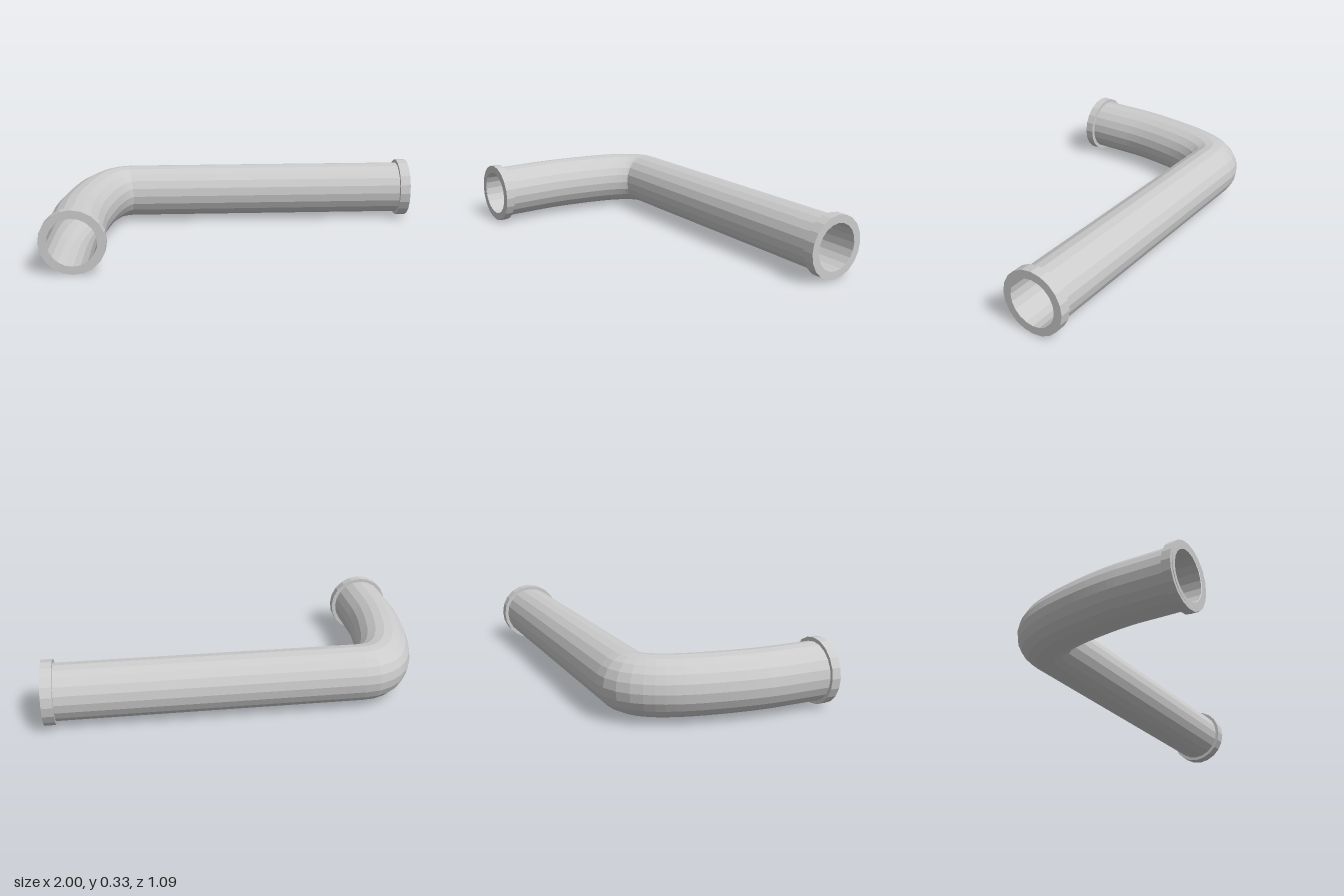
import * as THREE from 'three';

const SIDES = 20, AXIS_Y = 0.167;
const OUTER = 0.145, BORE = 0.122, COLLAR = 0.164;

export function createModel() {
  const group = new THREE.Group();
  const material = (side) =>
    new THREE.MeshStandardMaterial({ color: 0xcccccc, flatShading: true, side });
  const add = (name, geometry, side = THREE.FrontSide) => {
    const mesh = new THREE.Mesh(geometry, material(side));
    mesh.name = name;
    group.add(mesh);
    return mesh;
  };
  const p = (x, z) => new THREE.Vector3(x, AXIS_Y, z);

  // Centre line: long straight run, tight elbow, gentle sweep, short straight end
  const path = new THREE.CurvePath();
  path.add(new THREE.LineCurve3(p(1, -0.386), p(-0.61, -0.386)));
  path.add(new THREE.QuadraticBezierCurve3(p(-0.61, -0.386), p(-0.74, -0.386), p(-0.8, -0.12)));
  path.add(new THREE.QuadraticBezierCurve3(p(-0.8, -0.12), p(-0.845, 0.1), p(-0.845, 0.25)));
  path.add(new THREE.LineCurve3(p(-0.845, 0.25), p(-0.84, 0.54)));

  // Pipe wall and the open bore inside it
  add('pipeWall', new THREE.TubeGeometry(path, 72, OUTER, SIDES));
  add('pipeBore', new THREE.TubeGeometry(path, 72, BORE, SIDES), THREE.BackSide);

  // End collars: stepped rings whose +y axis points out of the pipe
  const collar = (name, length) => {
    const profile = [[BORE, -length], [COLLAR, -length], [COLLAR, 0], [BORE, 0]]
      .map(([r, y]) => new THREE.Vector2(r, y));
    return add(name, new THREE.LatheGeometry(profile, SIDES));
  };
  const longEnd = collar('longEndCollar', 0.057);
  longEnd.rotation.z = -Math.PI / 2;
  longEnd.position.copy(p(1, -0.386));
  const shortEnd = collar('shortEndCollar', 0.046);
  shortEnd.rotation.x = Math.PI / 2;
  shortEnd.position.copy(p(-0.838, 0.54));

  return group;
}
